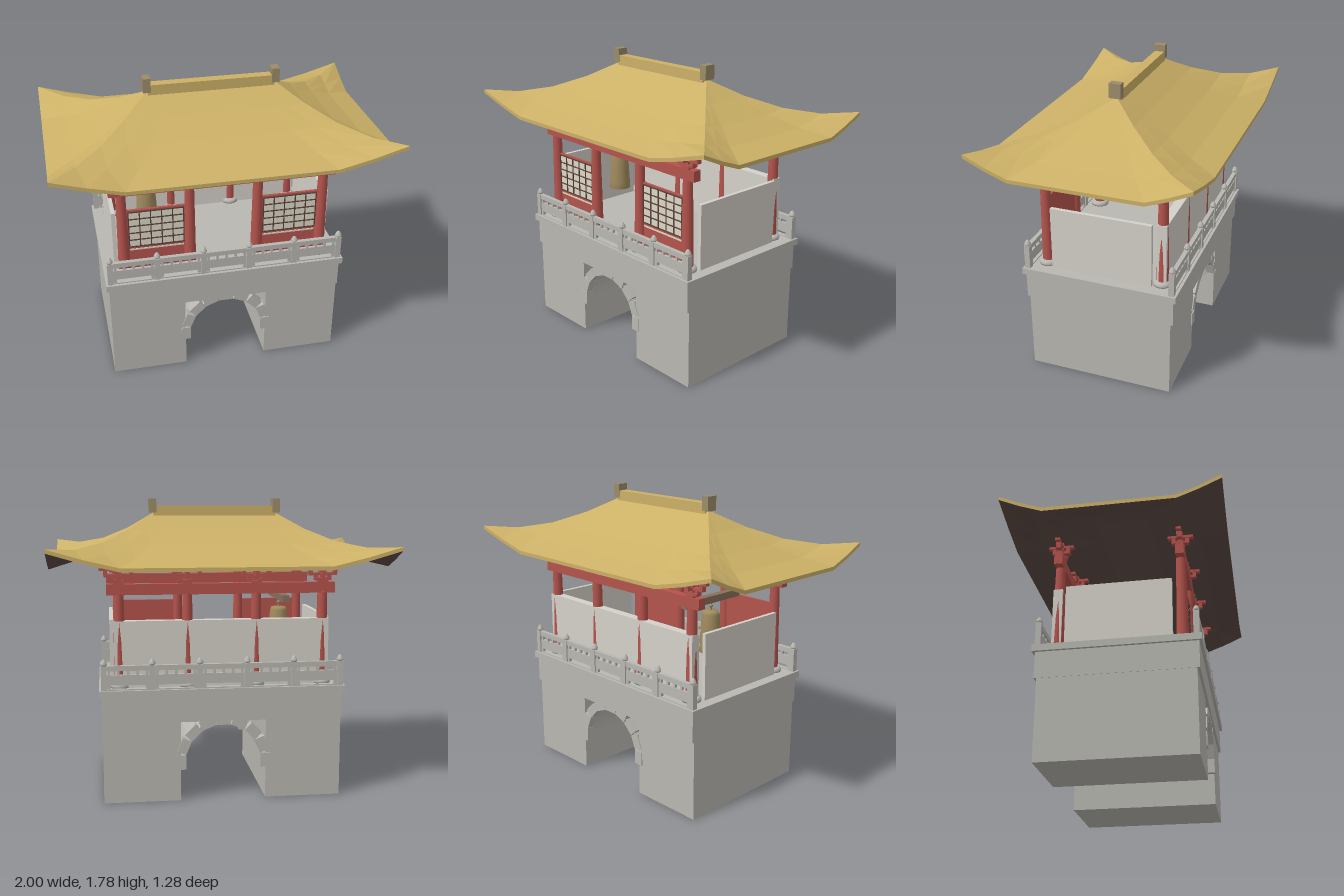
import * as THREE from 'three';

const mat = (color, extra = {}) => new THREE.MeshStandardMaterial({ color, ...extra });
const STONE = mat(0xb8b7b1), RED = mat(0xb4534c), WALL = mat(0xd4d0c9), CREAM = mat(0xdcd8c6);
const GOLD = mat(0xcbb066, { flatShading: true }), DARK = mat(0x5c4a44, { flatShading: true });
const TAN = mat(0x9c8c6a), WOOD = mat(0x8a6f5c), LATTICE = mat(0x5b4038);
const VAULT = mat(0xb8b7b1, { side: THREE.DoubleSide, flatShading: true });

function add(parent, name, geometry, material, x = 0, y = 0, z = 0) {
  const m = new THREE.Mesh(geometry, material);
  m.name = name;
  m.position.set(x, y, z);
  parent.add(m);
  return m;
}

// Box given by its extents on each axis
function box(parent, name, material, [x0, x1], [y0, y1], [z0, z1]) {
  return add(parent, name, new THREE.BoxGeometry(x1 - x0, y1 - y0, z1 - z0), material,
    (x0 + x1) / 2, (y0 + y1) / 2, (z0 + z1) / 2);
}

function group(parent, name) {
  const g = new THREE.Group();
  g.name = name;
  parent.add(g);
  return g;
}

function lathe(points, sides) {
  return new THREE.LatheGeometry(points.map(p => new THREE.Vector2(...p)), sides);
}

// Curved hip roof: four slopes with upturned corners
const RIDGE = 0.38, THICK = 0.022;
const PROFILE = [1.70, 1.60, 1.515, 1.45, 1.407];
const ACROSS = [-1, -0.8, -0.6, -0.3, 0, 0.3, 0.6, 0.8, 1];

function roofPoint(side, row, u, drop) {
  const t = row / 4, sign = side < 2 ? 1 : -1;
  const lift = 0.105 * t ** 2.5 * Math.max(0, (Math.abs(u) - 0.6) / 0.4) ** 1.15;
  const y = PROFILE[row] + lift - drop;
  const x = RIDGE + (1 - RIDGE) * t, z = 0.64 * t;
  return side % 2 ? [sign * x, y, -sign * u * z] : [sign * u * x, y, sign * z];
}

function roofGeometry(part) {
  const pos = [];
  const quad = (a, b, c, d) => pos.push(...a, ...b, ...c, ...a, ...c, ...d);
  for (let side = 0; side < 4; side++) {
    for (let i = 0; i < ACROSS.length - 1; i++) {
      const u0 = ACROSS[i], u1 = ACROSS[i + 1];
      const p = (row, u, drop) => roofPoint(side, row, u, drop);
      if (part === 'edge') {
        quad(p(4, u0, 0), p(4, u0, THICK), p(4, u1, THICK), p(4, u1, 0));
        continue;
      }
      for (let r = 0; r < 4; r++) {
        if (part === 'top') quad(p(r, u0, 0), p(r + 1, u0, 0), p(r + 1, u1, 0), p(r, u1, 0));
        else quad(p(r, u0, THICK), p(r, u1, THICK), p(r + 1, u1, THICK), p(r + 1, u0, THICK));
      }
    }
  }
  const g = new THREE.BufferGeometry();
  g.setAttribute('position', new THREE.Float32BufferAttribute(pos, 3));
  g.computeVertexNormals();
  return g;
}

function buildBase(root) {
  const base = group(root, 'gateBase');
  for (const s of [-1, 1]) {
    const pier = add(base, 'pier', new THREE.BoxGeometry(0.457, 0.487, 0.89), STONE, s * 0.4835, 0.2435, 0);
    pier.castShadow = true;
  }
  box(base, 'upperBlock', STONE, [-0.714, 0.714], [0.485, 0.645], [-0.46, 0.46]);
  box(base, 'deckSlab', STONE, [-0.73, 0.73], [0.645, 0.685], [-0.477, 0.477]);

  // Barrel vault through the passage
  const vault = new THREE.CylinderGeometry(0.255, 0.255, 0.89, 16, 1, true, Math.PI / 2, Math.PI);
  vault.rotateX(Math.PI / 2);
  add(base, 'vault', vault, VAULT, 0, 0.232, 0);

  // Arch stones on both faces
  for (const z of [-0.425, 0.425]) {
    for (let i = 0; i <= 8; i++) {
      const a = i * Math.PI / 8;
      const stone = add(base, 'archStone', new THREE.BoxGeometry(0.058, 0.088, 0.052), STONE,
        0.253 * Math.cos(a), 0.235 + 0.253 * Math.sin(a), z);
      stone.rotation.z = a;
    }
  }
}

function buildBalustrade(root, z) {
  const rail = group(root, 'balustrade');
  const post = lathe([[0, 0.87], [0.01, 0.863], [0.02, 0.843], [0.019, 0.835], [0.013, 0.828], [0, 0.828]].reverse(), 12);
  for (let i = 0; i < 6; i++) {
    const x = -0.7 + i * 0.28;
    box(rail, 'railPost', STONE, [x - 0.017, x + 0.017], [0.685, 0.83], [z - 0.017, z + 0.017]);
    add(rail, 'postCap', post, STONE, x, 0, z);
    if (i === 5) break;
    // Panel between two posts with small openings under the handrail
    const a = x + 0.015, b = x + 0.265;
    box(rail, 'handrail', STONE, [a, b], [0.8, 0.83], [z - 0.013, z + 0.013]);
    box(rail, 'railPanel', STONE, [a, b], [0.715, 0.775], [z - 0.009, z + 0.009]);
    box(rail, 'footRail', STONE, [a, b], [0.685, 0.692], [z - 0.012, z + 0.012]);
    for (let k = 0; k <= 4; k++) {
      const c = x + 0.03 + k * 0.055;
      box(rail, 'railBlock', STONE, [c - 0.007, c + 0.007], [0.77, 0.805], [z - 0.008, z + 0.008]);
    }
    for (const c of [x + 0.025, x + 0.255])
      box(rail, 'railFoot', STONE, [c - 0.012, c + 0.012], [0.69, 0.716], [z - 0.009, z + 0.009]);
  }
}

function buildBracket(root, x, z) {
  const g = group(root, 'bracket');
  const tier = (w, d, y0, y1) =>
    box(g, 'bracketTier', RED, [x - w / 2, x + w / 2], [y0, y1], [z - d / 2, z + d / 2]);
  tier(0.06, 0.05, 1.29, 1.31);
  tier(0.1, 0.04, 1.305, 1.32);
  tier(0.17, 0.03, 1.335, 1.35);
  tier(0.03, 0.105, 1.335, 1.35);
  tier(0.225, 0.03, 1.372, 1.388);
  tier(0.03, 0.15, 1.372, 1.388);
  tier(0.03, 0.03, 1.3, 1.41);
  // Small bearing blocks between tiers
  for (const s of [-1, 1]) {
    for (const [o, y0, y1] of [[0.04, 1.318, 1.337], [0.075, 1.348, 1.374]])
      box(g, 'bearingBlock', RED, [x + s * o - 0.012, x + s * o + 0.012], [y0, y1], [z - 0.015, z + 0.015]);
    box(g, 'bearingBlock', RED, [x - 0.012, x + 0.012], [1.348, 1.374],
      [z + s * 0.04 - 0.011, z + s * 0.04 + 0.011]);
  }
}

function buildFrame(root) {
  const frame = group(root, 'timberFrame');
  const column = new THREE.CylinderGeometry(0.0285, 0.0365, 0.54, 20);
  const footing = lathe([[0, 0], [0.056, 0], [0.058, 0.012], [0.052, 0.024], [0.04, 0.03], [0, 0.03]], 20);
  for (const z of [-0.36, 0.36]) {
    for (const x of [-0.605, -0.205, 0.205, 0.605]) {
      add(frame, 'column', column, RED, x, 0.97, z);
      add(frame, 'columnFooting', footing, STONE, x, 0.685, z);
      buildBracket(frame, x, z);
    }
    box(frame, 'beam', RED, [-0.677, 0.677], [1.232, 1.295], [z - 0.025, z + 0.025]);
    buildBalustrade(root, Math.sign(z) * 0.447);
  }
}

function buildWalls(root) {
  const walls = group(root, 'walls');
  box(walls, 'backWall', WALL, [-0.637, 0.637], [0.685, 1.08], [-0.391, -0.335]);
  for (const s of [-1, 1]) {
    add(walls, 'sideWall', new THREE.BoxGeometry(0.024, 0.395, 0.62), WALL, s * 0.65, 0.8825, 0);

    // Lattice screen in each outer front bay
    const c = s * 0.405;
    box(walls, 'screenBoard', RED, [c - 0.18, c + 0.18], [0.685, 1.12], [0.345, 0.363]);
    box(walls, 'screenPaper', CREAM, [c - 0.163, c + 0.163], [0.875, 1.11], [0.36, 0.366]);
    box(walls, 'screenRail', CREAM, [c - 0.163, c + 0.163], [0.848, 0.858], [0.36, 0.366]);
    for (let i = 0; i <= 5; i++) {
      const x = c - 0.163 + i * 0.0652;
      box(walls, 'latticeBar', LATTICE, [x - 0.003, x + 0.003], [0.875, 1.11], [0.364, 0.371]);
    }
    for (let i = 0; i <= 5; i++) {
      const y = 0.875 + i * 0.047;
      box(walls, 'latticeBar', LATTICE, [c - 0.163, c + 0.163], [y - 0.003, y + 0.003], [0.364, 0.371]);
    }
  }
}

function buildBell(root) {
  const bell = group(root, 'bell');
  box(bell, 'bellBeam', WOOD, [-0.435, -0.391], [1.157, 1.2], [-0.23, 0.23]);
  const shell = lathe([[0.06, 0.85], [0.068, 0.85], [0.066, 0.89], [0.06, 1.0], [0.054, 1.085], [0.045, 1.105], [0, 1.11]], 20);
  add(bell, 'bellShell', shell, mat(0xa08a5c, { side: THREE.DoubleSide }), -0.413, 0, 0);
  add(bell, 'bellHanger', new THREE.CylinderGeometry(0.006, 0.006, 0.06, 8), TAN, -0.413, 1.13, 0);
  add(bell, 'bellKnob', new THREE.SphereGeometry(0.012, 10, 8), TAN, -0.413, 1.135, 0);
}

function buildRoof(root) {
  const roof = group(root, 'roof');
  add(roof, 'roofTiles', roofGeometry('top'), GOLD);
  add(roof, 'roofUnderside', roofGeometry('under'), DARK);
  add(roof, 'eaveEdge', roofGeometry('edge'), GOLD);
  box(roof, 'ridgeBar', GOLD, [-0.38, 0.38], [1.68, 1.743], [-0.03, 0.03]);
  for (const s of [-1, 1])
    add(roof, 'ridgeEnd', new THREE.BoxGeometry(0.046, 0.086, 0.07), TAN, s * 0.385, 1.742, 0);
}

export function createModel() {
  const root = new THREE.Group();
  root.name = 'gatehouse';
  buildBase(root);
  buildFrame(root);
  buildWalls(root);
  buildBell(root);
  buildRoof(root);
  return root;
}
